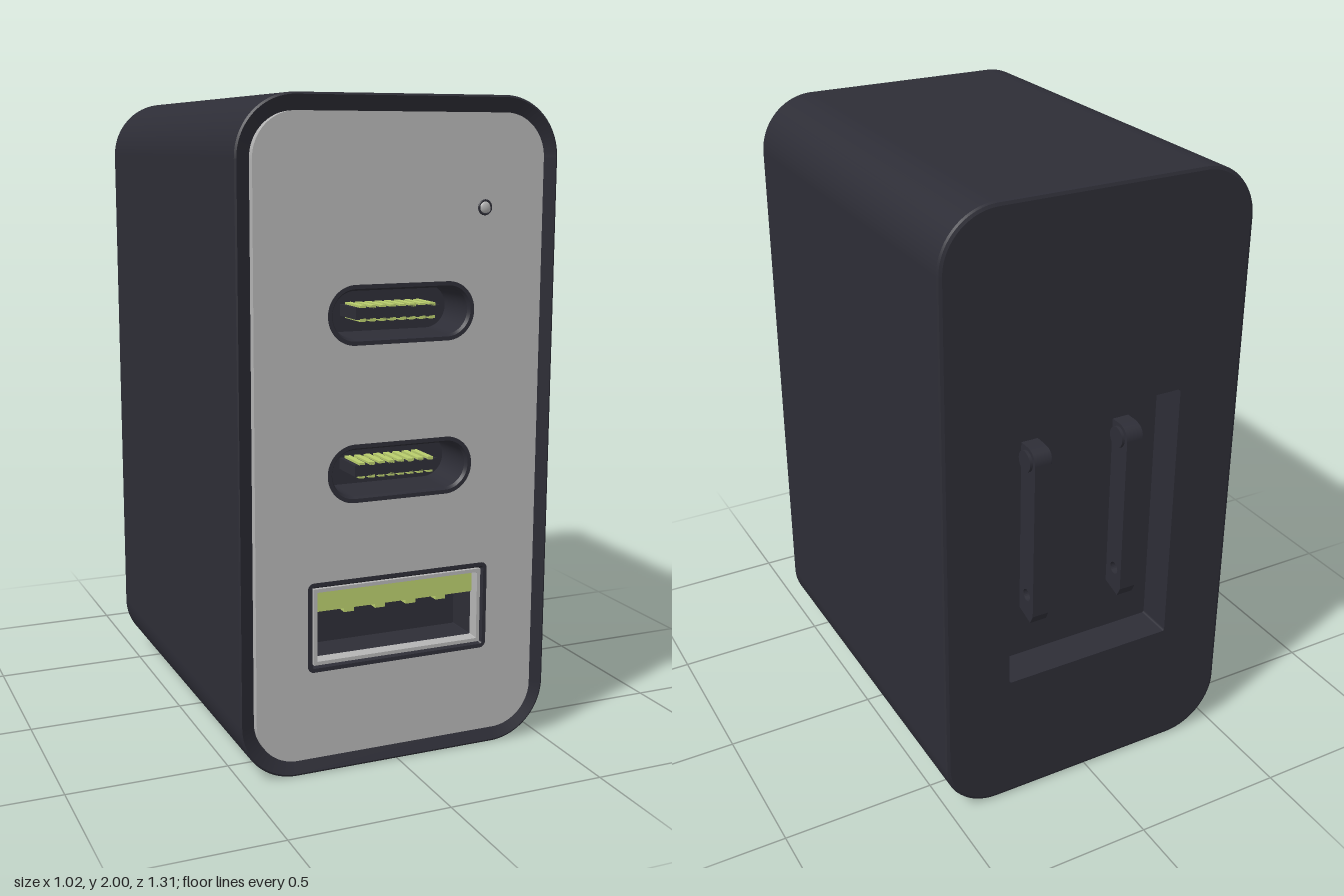
import * as THREE from 'three';
import { mergeGeometries } from 'three/addons/utils/BufferGeometryUtils.js';

const material = (name, color, side = THREE.FrontSide) => {
  const m = new THREE.MeshStandardMaterial({ color, side });
  m.name = name;
  return m;
};

// A rounded rectangle: w, h, corner r, centre (x, y), shrunk by inset
function outline({ w, h, r, x = 0, y }, inset = 0, Type = THREE.Shape) {
  const rad = Math.max(r - inset, 0.002);
  const a = w / 2 - inset - rad, b = h / 2 - inset - rad;
  const p = new Type();
  [[1, -1], [1, 1], [-1, 1], [-1, -1]].forEach(([sx, sy], i) =>
    p.absarc(x + sx * a, y + sy * b, rad, (i - 1) * Math.PI / 2, i * Math.PI / 2, false));
  return p;
}

// Skin running through rings of [inset, z]; every band keeps its own normals
function loft(rect, rings) {
  const bands = [];
  for (let k = 0; k + 1 < rings.length; k++) {
    const pos = [], index = [];
    let n = 0;
    for (const [inset, z] of [rings[k], rings[k + 1]]) {
      const pts = outline(rect, inset).getPoints(12);
      n = pts.length;
      pts.forEach(p => pos.push(p.x, p.y, z));
    }
    for (let i = 0; i < n; i++) {
      const j = (i + 1) % n;
      index.push(i, j, n + j, i, n + j, n + i);
    }
    const g = new THREE.BufferGeometry();
    g.setAttribute('position', new THREE.Float32BufferAttribute(pos, 3));
    g.setIndex(index);
    g.computeVertexNormals();
    bands.push(g);
  }
  return mergeGeometries(bands);
}

// Flat plate with holes, from z0 to z1
function plate(shape, holes, z0, z1) {
  shape.holes.push(...holes);
  const g = new THREE.ExtrudeGeometry(shape, { depth: z1 - z0, bevelEnabled: false, curveSegments: 12 });
  return g.translate(0, 0, z0);
}

export function createModel() {
  const model = new THREE.Group();
  model.name = 'wallCharger';
  const dark = material('charcoal', 0x2d2d36);
  const grey = material('panelGrey', 0xb3b3b3);
  const green = material('contactGreen', 0xb8cc6c);

  const add = (name, geometry, mat, parent = model) => {
    const mesh = new THREE.Mesh(geometry, mat);
    mesh.name = name;
    parent.add(mesh);
    return mesh;
  };
  const box = (name, w, h, d, x, y, z, mat, parent) =>
    add(name, new THREE.BoxGeometry(w, h, d).translate(x, y, z), mat, parent);

  const body = { w: 1.02, h: 2, r: 0.18, y: 1 };
  const panel = { w: 0.92, h: 1.9, r: 0.13, y: 1 };
  const recess = { w: 0.58, h: 0.88, r: 0.008, y: 0.88 };
  const smallPorts = [1.377, 0.912].map(y => ({ w: 0.47, h: 0.175, r: 0.087, y }));
  const largePort = { w: 0.595, h: 0.275, r: 0.02, y: 0.457 };

  // Housing: sides, softened back edge and front lip sloping in to the panel
  add('housing', loft(body, [
    [0.012, -0.65], [0.003, -0.646], [0, -0.638], [0, 0.643], [0.006, 0.647], [0.05, 0.625], [0.05, 0.5],
  ]), dark);
  add('backFace', plate(outline(body, 0.012), [outline(recess, 0, THREE.Path)], -0.65, -0.53), dark);
  box('recessFloor', 0.62, 0.92, 0.02, 0, 0.88, -0.52, dark);

  // Front panel with port openings
  add('frontPanel', plate(outline(panel),
    [...smallPorts, largePort].map(p => outline(p, 0, THREE.Path)), 0.5, 0.65), grey);

  // Small oval ports with tongue and two rows of contacts
  for (const port of smallPorts) {
    const g = new THREE.Group();
    g.name = 'ovalPort';
    model.add(g);
    add('portSleeve', loft(port, [[0, 0.645], [0, 0.651], [0.012, 0.651], [0.018, 0.64], [0.022, 0.5]]), dark, g);
    add('portFloor', new THREE.ShapeGeometry(outline(port)).translate(0, 0, 0.505), dark, g);
    box('portTongue', 0.27, 0.034, 0.115, 0, port.y, 0.5625, dark, g);
    for (const side of [-1, 1])
      for (let i = 0; i < 8; i++)
        box('contact', 0.019, 0.009, 0.11, (i - 3.5) * 0.032, port.y + side * 0.019, 0.565, green, g);
  }

  // Large rectangular port: dark groove, grey frame, dark cavity, green tongue
  const big = new THREE.Group();
  big.name = 'rectangularPort';
  model.add(big);
  add('portGroove', loft(largePort, [[0, 0.645], [0, 0.651], [0.012, 0.651], [0.02, 0.635]]), dark, big);
  add('portFrame', loft(largePort, [[0.02, 0.63], [0.02, 0.647], [0.031, 0.647], [0.036, 0.615]]), grey, big);
  add('portCavity', loft(largePort, [[0.036, 0.615], [0.036, 0.5]]), dark, big);
  add('portFloor', new THREE.ShapeGeometry(outline(largePort)).translate(0, 0, 0.505), dark, big);
  box('portTongue', 0.522, 0.07, 0.12, 0, 0.531, 0.562, green, big);
  for (let i = 0; i < 4; i++)
    box('tongueContact', 0.033, 0.014, 0.12, (i - 1.5) * 0.102, 0.491, 0.562, green, big);

  // Indicator light in a dark ring
  const light = add('indicatorLight', new THREE.SphereGeometry(0.018, 20, 12), grey);
  light.position.set(0.265, 1.677, 0.648);
  light.scale.z = 0.5;
  const ring = add('indicatorRing', new THREE.TorusGeometry(0.02, 0.004, 8, 24), dark);
  ring.position.set(0.265, 1.677, 0.649);

  // Folded prongs: blade profile (depth, height) with tip hole, extruded sideways
  for (const side of [-1, 1]) {
    const blade = new THREE.Shape();
    blade.moveTo(0, 0.62);
    blade.lineTo(0.07, 0.6);
    blade.lineTo(0.085, 0.63);
    blade.lineTo(0.085, 1.16);
    blade.absarc(0.04, 1.16, 0.045, 0, Math.PI / 2, false);
    blade.lineTo(0, 1.205);
    const hole = new THREE.Path();
    hole.absarc(0.046, 0.69, 0.02, 0, Math.PI * 2, true);
    blade.holes.push(hole);
    const g = new THREE.ExtrudeGeometry(blade, { depth: 0.056, bevelEnabled: false, curveSegments: 12 });
    g.translate(0, 0, -0.028).rotateY(Math.PI / 2);
    add('prong', g, dark).position.set(side * 0.16, 0, -0.528);
    // Pivot knuckle at the top of the blade
    const pivot = add('prongPivot', new THREE.CylinderGeometry(0.034, 0.034, 0.075, 20).rotateZ(Math.PI / 2), dark);
    pivot.position.set(side * 0.16, 1.16, -0.566);
  }
  return model;
}
